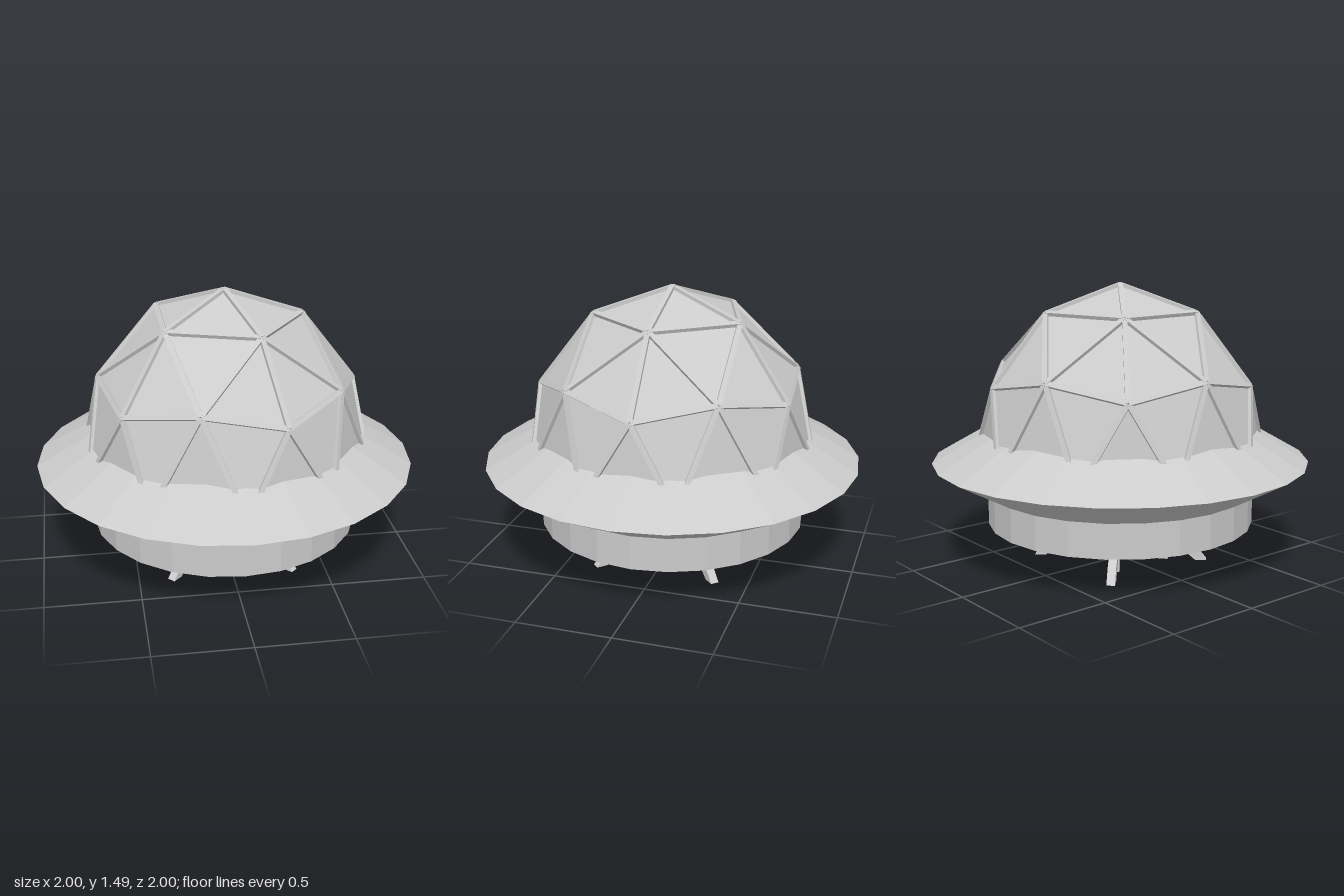
import * as THREE from 'three';

const grey = new THREE.MeshStandardMaterial({ color: 0xcccccc, flatShading: true });
const greyOpen = new THREE.MeshStandardMaterial({ color: 0xcccccc, flatShading: true, side: THREE.DoubleSide });

function add(parent, name, geometry, material = grey) {
  const mesh = new THREE.Mesh(geometry, material);
  mesh.name = name;
  parent.add(mesh);
  return mesh;
}

function lathe(points) {
  return new THREE.LatheGeometry(points.map(([r, y]) => new THREE.Vector2(r, y)), 24);
}

// Geodesic dome: apex, two upper rings and a hidden equator ring
const RADIUS = 0.77, HEIGHT = 0.91, CENTRE_Y = 0.57;

function domePoint(r, y, degrees) {
  const a = THREE.MathUtils.degToRad(degrees);
  return new THREE.Vector3(r * RADIUS * Math.cos(a), CENTRE_Y + y * HEIGHT, -r * RADIUS * Math.sin(a));
}

function domeTriangles() {
  const apex = domePoint(0, 1, 0);
  const upper = (i) => points.upper[(i + 5) % 5];
  const middle = (k) => points.middle[(k + 10) % 10];
  const equator = (k) => points.equator[(k + 10) % 10];
  const points = { upper: [], middle: [], equator: [] };
  for (let i = 0; i < 5; i++) points.upper.push(domePoint(0.5257, 0.8507, 72 * i));
  for (let k = 0; k < 10; k++) {
    points.middle.push(k % 2 ? domePoint(0.8507, 0.5257, 36 * k) : domePoint(0.8944, 0.4472, 36 * k));
    points.equator.push(domePoint(1, 0, 36 * k + 18));
  }
  const triangles = [];
  for (let i = 0; i < 5; i++) {
    triangles.push(
      [apex, upper(i), upper(i + 1)],
      [upper(i), middle(2 * i), middle(2 * i + 1)],
      [upper(i), middle(2 * i + 1), upper(i + 1)],
      [upper(i), middle(2 * i - 1), middle(2 * i)]);
  }
  for (let k = 0; k < 10; k++) {
    triangles.push(
      [middle(k), equator(k - 1), equator(k)],
      [middle(k), equator(k), middle(k + 1)]);
  }
  return triangles;
}

// Square bar along one dome edge, with its depth facing outward
function addStrut(parent, a, b) {
  const along = b.clone().sub(a);
  const middle = a.clone().add(b).multiplyScalar(0.5);
  const strut = add(parent, 'strut', new THREE.BoxGeometry(0.026, 0.03, along.length()));
  along.normalize();
  const side = middle.clone().setY(middle.y - CENTRE_Y).cross(along).normalize();
  const outward = along.clone().cross(side);
  strut.quaternion.setFromRotationMatrix(new THREE.Matrix4().makeBasis(side, outward, along));
  strut.position.copy(middle);
}

function createDome() {
  const dome = new THREE.Group();
  dome.name = 'dome';
  const triangles = domeTriangles();
  const panels = new THREE.BufferGeometry().setFromPoints(triangles.flat());
  panels.computeVertexNormals();
  add(dome, 'panels', panels, greyOpen);

  const done = new Set();
  for (const t of triangles) {
    for (let i = 0; i < 3; i++) {
      const a = t[i], b = t[(i + 1) % 3];
      const key = [a, b].map((p) => p.toArray().map((v) => v.toFixed(3)).join()).sort().join('|');
      const onEquator = a.y + b.y < 2 * CENTRE_Y + 0.01;
      if (done.has(key) || onEquator) continue;
      done.add(key);
      addStrut(dome, a, b);
    }
  }
  return dome;
}

// Leg drawn in its radial plane: post, bent brace and splayed foot
const LEG_WIDTH = 0.044;

function legPlate(outline) {
  const shape = new THREE.Shape(outline.map(([r, y]) => new THREE.Vector2(r, y)));
  return new THREE.ExtrudeGeometry(shape, { depth: LEG_WIDTH, bevelEnabled: false }).translate(0, 0, -LEG_WIDTH / 2);
}

function createLeg() {
  const leg = new THREE.Group();
  leg.name = 'leg';
  add(leg, 'post', legPlate([[0.21, 0], [0.262, 0], [0.262, 0.23], [0.21, 0.23]]));
  add(leg, 'brace', legPlate([[0.25, 0.15], [0.455, 0.15], [0.55, 0.225], [0.48, 0.225], [0.42, 0.185], [0.25, 0.185]]));
  add(leg, 'foot', legPlate([[0.25, 0.11], [0.3, 0.095], [0.41, 0], [0.47, 0], [0.405, 0.075], [0.33, 0.125], [0.25, 0.16]]));
  return leg;
}

export function createModel() {
  const model = new THREE.Group();
  model.name = 'domedSaucer';

  add(model, 'base', lathe([[0, 0.22], [0.71, 0.22], [0.71, 0.4]]), greyOpen);
  add(model, 'brim', lathe([[0.71, 0.4], [1, 0.56], [0.66, 0.755]]), greyOpen);
  model.add(createDome());

  // Four legs on the diagonals
  for (let i = 0; i < 4; i++) {
    const leg = createLeg();
    leg.rotation.y = Math.PI / 4 + (i * Math.PI) / 2;
    model.add(leg);
  }
  return model;
}
